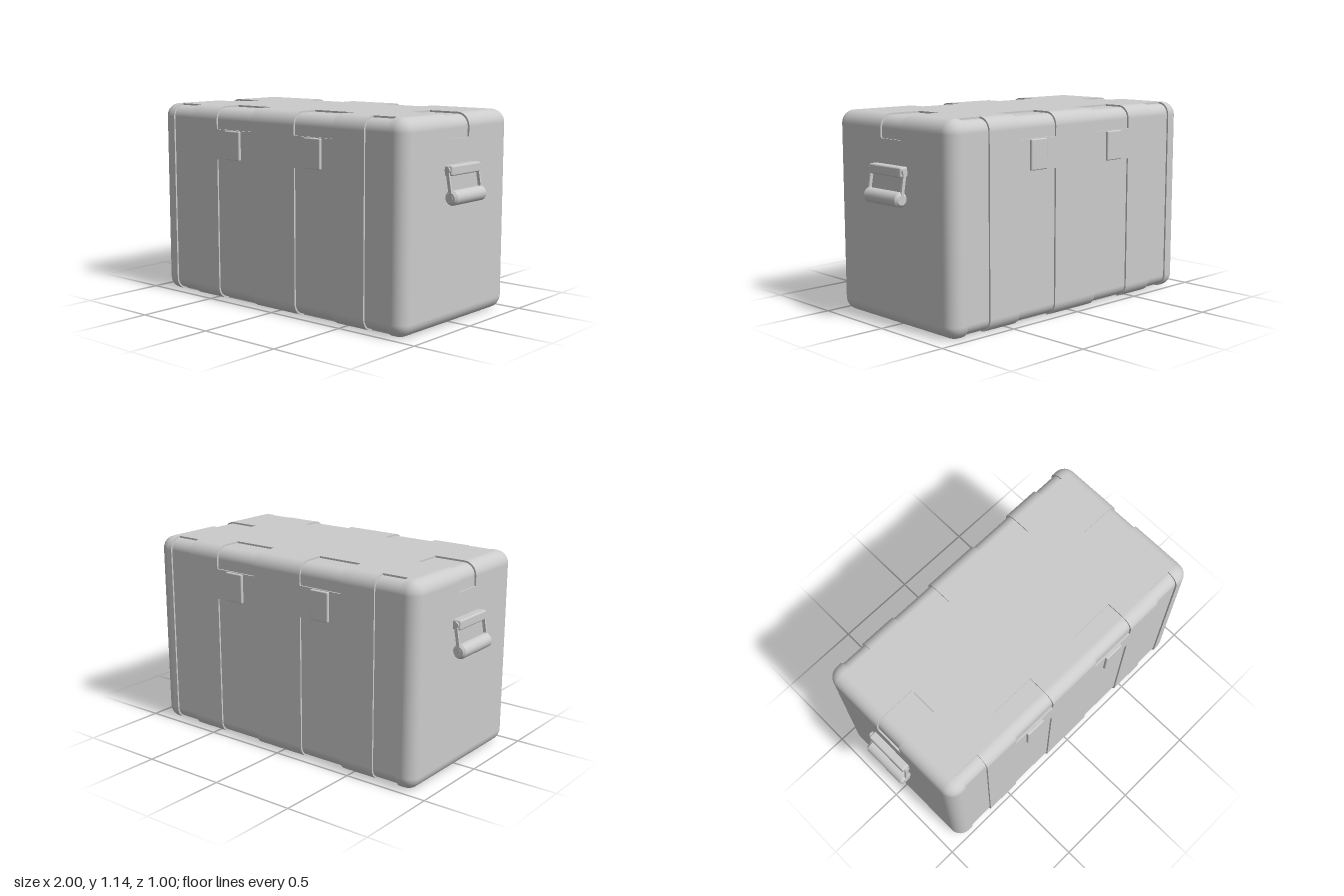
import * as THREE from 'three';
import { RoundedBoxGeometry } from 'three/addons/geometries/RoundedBoxGeometry.js';

const HALF = [0.915, 0.57, 0.485]; // half width, height, depth of the case
const R = 0.075;                   // edge rounding
const DEPTH = 0.01;                // depth of the sunken panels
const STEPS = 4;                   // rounding segments per 45 degrees

// Sunken areas, tested on the case before its edges are rounded
function isSunken(x, y, z) {
  const ax = Math.abs(x), az = Math.abs(z);
  const h = y + HALF[1];
  const wrap = az > HALF[2] - R;
  const pair = ax > 0.165 && ax < 0.44;
  return (ax > 0.655 && ax < 0.81 && wrap)      // corner strips
    || (pair && wrap && h < 0.835)              // tall lower panels
    || (pair && az > 0.31 && h > 1.01)          // lid notches, front and back
    || (ax > 0.655 && az < 0.085 && h > 1.01);  // lid notches, sides
}

// Grid lines along one axis: panel borders plus the rounded edges
function gridLines(axis) {
  const lines = [
    [-0.81, -0.655, -0.44, -0.165, 0.165, 0.44, 0.655, 0.81],
    [0.835 - HALF[1], 1.01 - HALF[1]],
    [-0.31, -0.085, 0.085, 0.31],
  ][axis].slice();
  for (let i = 0; i <= STEPS; i++) {
    const c = HALF[axis] - R + R * Math.tan((i / STEPS) * Math.PI / 4);
    lines.push(c, -c);
  }
  return lines.sort((a, b) => a - b);
}

function caseGeometry() {
  const pos = [], nor = [];

  // Round off a box point and push it inwards by d
  function surface(q, d) {
    const inner = new THREE.Vector3(...q.map((c, k) =>
      THREE.MathUtils.clamp(c, R - HALF[k], HALF[k] - R)));
    const n = new THREE.Vector3(...q).sub(inner).normalize();
    return { p: inner.addScaledVector(n, R - d), n };
  }
  // Quad turned to agree with its normals
  function quad(points, normals) {
    const [a, b, c] = points;
    const face = b.clone().sub(a).cross(c.clone().sub(a));
    const order = face.dot(normals[0]) > 0 ? [0, 1, 2, 0, 2, 3] : [0, 2, 1, 0, 3, 2];
    for (const k of order) {
      pos.push(...points[k].toArray());
      nor.push(...normals[k].toArray());
    }
  }

  for (let a = 0; a < 3; a++) for (const s of [-1, 1]) {
    const u = (a + 1) % 3, v = (a + 2) % 3;
    const U = gridLines(u), V = gridLines(v);
    const at = (cu, cv) => {
      const q = [0, 0, 0];
      q[a] = s * HALF[a]; q[u] = cu; q[v] = cv;
      return q;
    };
    const cellDepth = (i, j) =>
      isSunken(...at((U[i] + U[i + 1]) / 2, (V[j] + V[j + 1]) / 2)) ? DEPTH : 0;
    // Step between two cells, facing the deeper one
    const wall = (q0, q1, d0, d1, axis) => {
      if (d0 === d1) return;
      const n = new THREE.Vector3().setComponent(axis, d1 > d0 ? 1 : -1);
      quad([surface(q0, 0).p, surface(q0, DEPTH).p, surface(q1, DEPTH).p, surface(q1, 0).p],
        [n, n, n, n]);
    };
    for (let i = 0; i < U.length - 1; i++) for (let j = 0; j < V.length - 1; j++) {
      const d = cellDepth(i, j);
      const c = [at(U[i], V[j]), at(U[i + 1], V[j]), at(U[i + 1], V[j + 1]), at(U[i], V[j + 1])];
      const pts = c.map((q) => surface(q, d));
      quad(pts.map((t) => t.p), pts.map((t) => t.n));
      if (i > 0) wall(c[0], c[3], cellDepth(i - 1, j), d, u);
      if (j > 0) wall(c[0], c[1], cellDepth(i, j - 1), d, v);
    }
  }
  const g = new THREE.BufferGeometry();
  g.setAttribute('position', new THREE.Float32BufferAttribute(pos, 3));
  g.setAttribute('normal', new THREE.Float32BufferAttribute(nor, 3));
  return g;
}

export function createModel() {
  const model = new THREE.Group();
  model.name = 'storageCase';
  const material = new THREE.MeshStandardMaterial({ color: 0xcccccc });
  const add = (parent, name, geometry, x, y, z) => {
    const mesh = new THREE.Mesh(geometry, material);
    mesh.name = name;
    mesh.position.set(x, y, z);
    parent.add(mesh);
    return mesh;
  };

  // Case with sunken panels
  add(model, 'caseBody', caseGeometry(), 0, HALF[1], 0);

  // Latches between the lid notches and the tall panels
  const latch = new RoundedBoxGeometry(0.12, 0.168, 0.04, 2, 0.007);
  for (const x of [-0.305, 0.305]) for (const s of [-1, 1]) {
    add(model, 'latch', latch, x, 0.923, s * 0.48);
  }

  // Carrying handles: wall mount, two arms and a bevelled roller grip
  const mount = new RoundedBoxGeometry(0.06, 0.055, 0.27, 2, 0.01);
  const grip = new THREE.CylinderGeometry(0.04, 0.04, 0.266, 24, 1, true).rotateX(Math.PI / 2);
  const bevel = new THREE.CylinderGeometry(0.027, 0.04, 0.013, 24).rotateX(Math.PI / 2);
  const arm = new THREE.BoxGeometry(0.018, 0.16, 0.011);
  const pin = new THREE.CylinderGeometry(0.016, 0.016, 0.014, 16).rotateX(Math.PI / 2);
  for (const side of [1, -1]) {
    const handle = new THREE.Group();
    handle.name = side > 0 ? 'leftHandle' : 'rightHandle';
    add(handle, 'handleMount', mount, 0.93, 0.849, 0);
    add(handle, 'handleGrip', grip, 0.96, 0.707, 0);
    for (const s of [-1, 1]) {
      add(handle, 'gripBevel', bevel, 0.96, 0.707, s * 0.1395).rotation.y = s > 0 ? 0 : Math.PI;
      add(handle, 'handleArm', arm, 0.948, 0.777, s * 0.14).rotation.z = 0.17;
      add(handle, 'armPin', pin, 0.936, 0.852, s * 0.139);
      add(handle, 'gripPin', pin, 0.96, 0.707, s * 0.1405);
    }
    // The far handle is the near one turned about the vertical
    handle.rotation.y = side > 0 ? 0 : Math.PI;
    model.add(handle);
  }
  return model;
}
